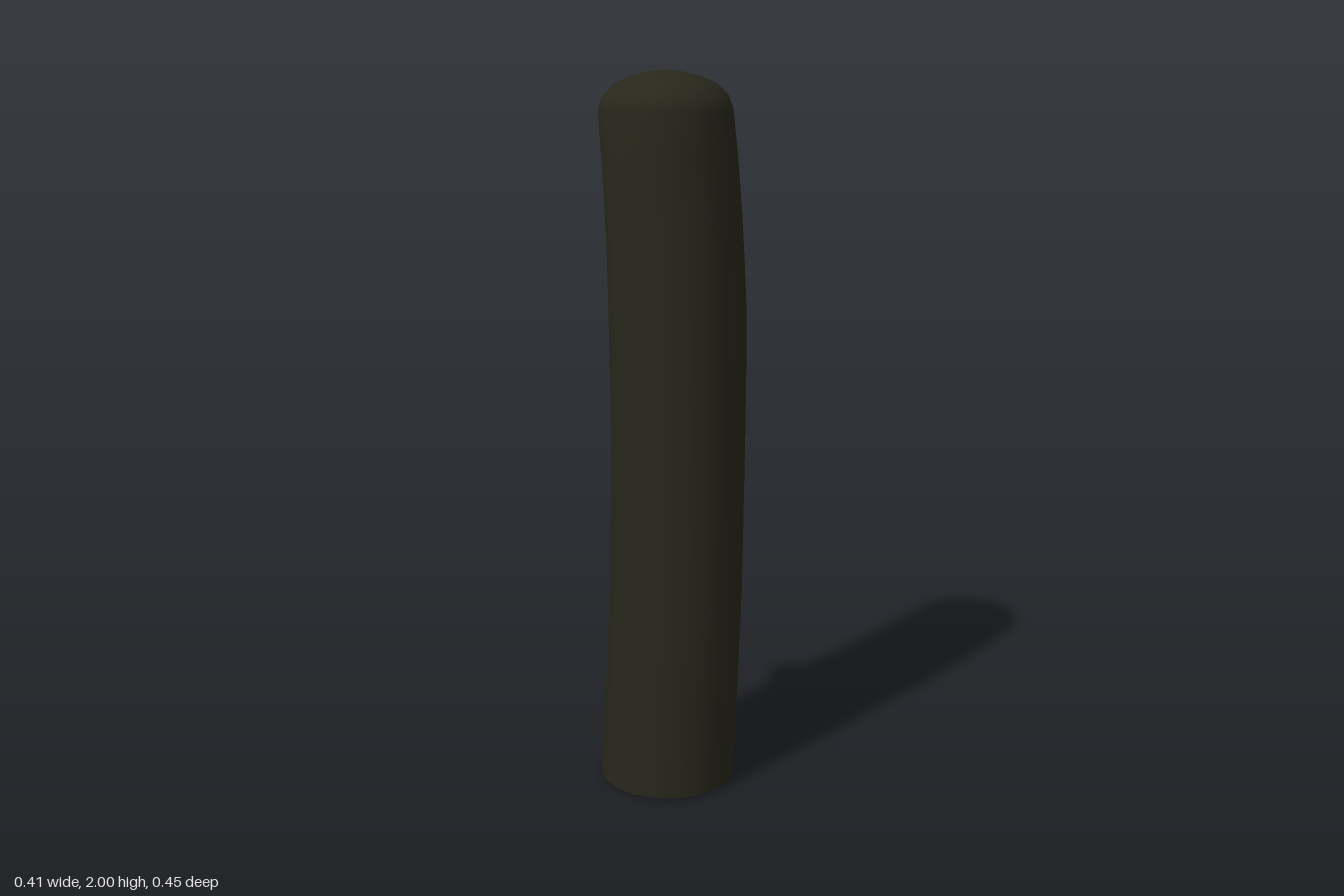
import * as THREE from 'three';

const bark = new THREE.MeshStandardMaterial({ color: 0x27271b });
bark.name = 'dark bark';
const wood = new THREE.MeshStandardMaterial({ color: 0x705040 });
wood.name = 'cut wood';

const SIDES = 20;

// Centre line of the gently bent log
const spine = [
  [0, -0.013, 0.033], [0.3, 0.002, 0.034], [0.6, 0.014, 0.031], [1.0, 0.018, 0.025],
  [1.2, 0.018, 0.027], [1.4, 0.016, 0.03], [1.52, 0.012, 0.032], [1.65, 0.006, 0.035],
  [1.78, -0.003, 0.037], [1.9, -0.013, 0.039], [2.0, -0.015, 0.038],
];

function centreAt(y) {
  let i = 1;
  while (i < spine.length - 1 && spine[i][0] < y) i++;
  const [a, b] = [spine[i - 1], spine[i]];
  const t = THREE.MathUtils.clamp((y - a[0]) / (b[0] - a[0]), 0, 1);
  return [THREE.MathUtils.lerp(a[1], b[1], t), THREE.MathUtils.lerp(a[2], b[2], t)];
}

function part(name, geometry, material) {
  const mesh = new THREE.Mesh(geometry, material);
  mesh.name = name;
  return mesh;
}

// Revolved profile of [radius, y]
function lathe(profile, sides) {
  return new THREE.LatheGeometry(profile.map(([r, y]) => new THREE.Vector2(r, y)), sides);
}

// Revolved profile shifted to follow the spine
function bentLathe(profile) {
  const geometry = lathe(profile, SIDES);
  const p = geometry.attributes.position;
  for (let i = 0; i < p.count; i++) {
    const [x, z] = centreAt(p.getY(i));
    p.setX(i, p.getX(i) + x);
    p.setZ(i, p.getZ(i) + z);
  }
  return geometry;
}

export function createModel() {
  const model = new THREE.Group();
  model.name = 'log';

  // Trunk with a rounded top
  model.add(part('trunk', bentLathe([
    [0.193, 0.008], [0.19, 0.3], [0.187, 0.6], [0.186, 1.0], [0.187, 1.2], [0.187, 1.4],
    [0.185, 1.52], [0.183, 1.65], [0.181, 1.78], [0.178, 1.9], [0.166, 1.933],
    [0.139, 1.962], [0.097, 1.982], [0.05, 1.994], [0, 2],
  ]), bark));

  // Bevelled bark rim and cut face underneath
  model.add(part('bottomRim', bentLathe([[0.163, 0], [0.193, 0.008]]), bark));
  const cut = part('cutFace', new THREE.CircleGeometry(0.163, SIDES), wood);
  cut.rotation.x = Math.PI / 2;
  cut.position.set(spine[0][1], 0, spine[0][2]);
  model.add(cut);

  // Short branch stub with a softly domed end, pointing back, right and up
  const stub = new THREE.Group();
  stub.name = 'branchStub';
  stub.add(part('stubSide', lathe([[0.056, -0.16], [0.054, -0.002]], 8), bark));
  stub.add(part('stubEnd', lathe([[0.054, -0.002], [0.036, 0.006], [0, 0.01]], 8), bark));
  const direction = new THREE.Vector3(-0.4, 0.56, -0.73).normalize();
  stub.quaternion.setFromUnitVectors(new THREE.Vector3(0, 1, 0), direction);
  stub.position.set(-0.107, 0.808, -0.192);
  model.add(stub);

  return model;
}
